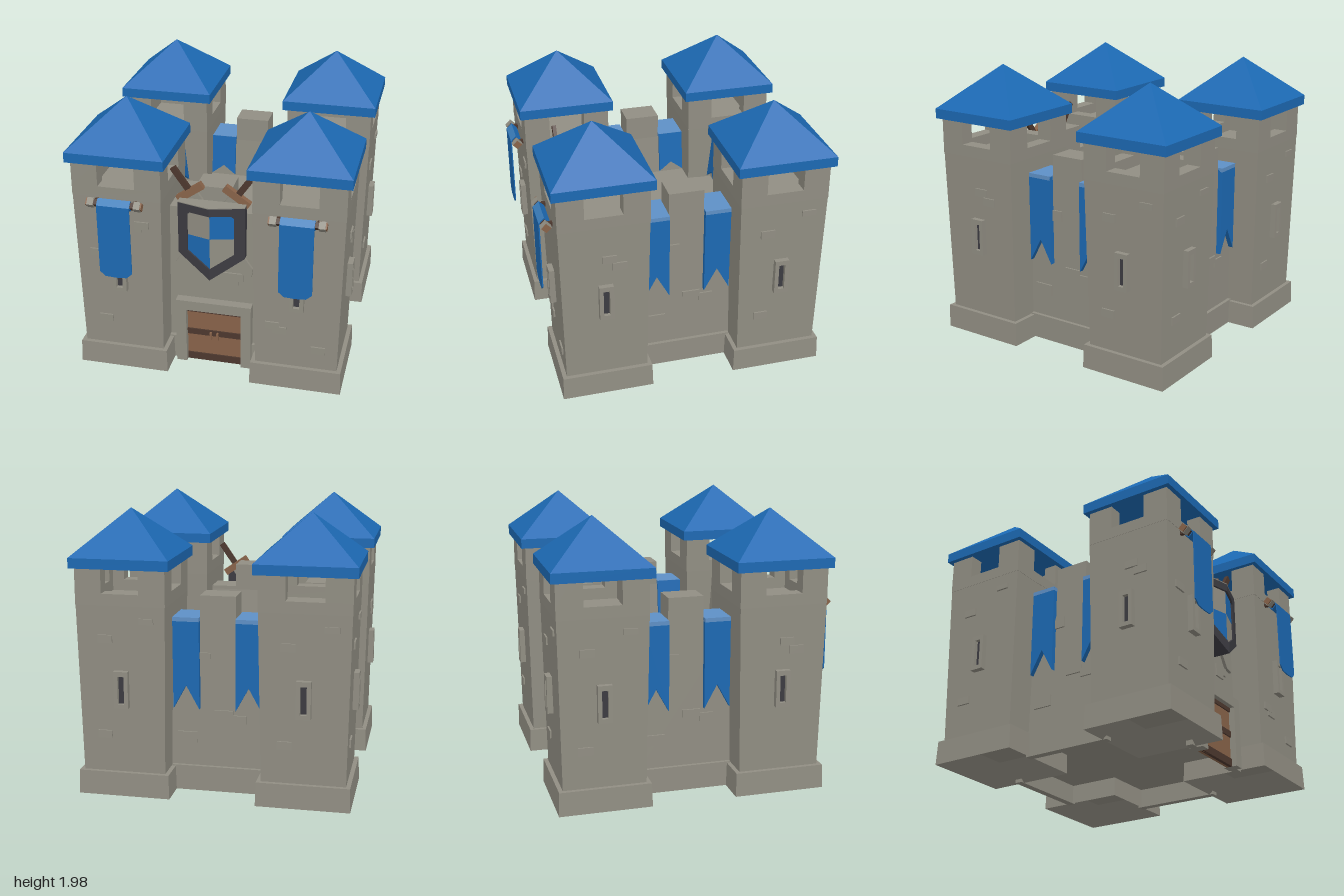
import * as THREE from 'three';

const material = (name, color, side = THREE.FrontSide) => {
  const m = new THREE.MeshStandardMaterial({ color, side });
  m.name = name;
  return m;
};

export function createModel() {
  const stone = material('stone', 0x918e83, THREE.DoubleSide);
  const blue = material('blue', 0x1c69b3);
  const midBlue = material('mid blue', 0x3a7dba);
  const paleBlue = material('pale blue', 0x5e90c6);
  const iron = material('iron', 0x3c3b41);
  const wood = material('wood', 0x886349);
  const darkWood = material('dark wood', 0x4d382e);

  const castle = new THREE.Group();
  castle.name = 'castle';

  // ---- helpers ----
  const group = (parent, name, x = 0, y = 0, z = 0, ry = 0) => {
    const g = new THREE.Group();
    g.name = name;
    g.position.set(x, y, z);
    g.rotation.y = ry;
    parent.add(g);
    return g;
  };
  const add = (parent, name, geometry, mat, x = 0, y = 0, z = 0) => {
    const mesh = new THREE.Mesh(geometry, mat);
    mesh.name = name;
    mesh.position.set(x, y, z);
    parent.add(mesh);
    return mesh;
  };
  const box = (parent, name, mat, x0, x1, y0, y1, z0, z1) =>
    add(parent, name, new THREE.BoxGeometry(x1 - x0, y1 - y0, z1 - z0), mat,
      (x0 + x1) / 2, (y0 + y1) / 2, (z0 + z1) / 2);
  const flat = (geometry) => {
    const g = geometry.toNonIndexed();
    g.computeVertexNormals();
    return g;
  };
  const R2 = Math.SQRT2;
  const frustum = (top, bottom, h) =>
    flat(new THREE.CylinderGeometry(top * R2, bottom * R2, h, 4, 1).rotateY(Math.PI / 4));
  const plate = (points, depth) => new THREE.ExtrudeGeometry(
    new THREE.Shape(points.map(([x, y]) => new THREE.Vector2(x, y))), { depth, bevelEnabled: false });
  // cross-section given as [z, y], swept along x
  const prism = (points, width) => plate(points, width).translate(0, 0, -width / 2).rotateY(-Math.PI / 2);
  const towerHalf = (y) => 0.29 + (y - 0.17) * 0.0175;
  const brick = (parent, u, y, z, w = 0.1, h = 0.055) =>
    box(parent, 'raisedStone', stone, u - w / 2, u + w / 2, y - h / 2, y + h / 2, z - 0.03, z + 0.012);

  // ---- towers ----
  const brickSets = [
    [[0.17, 1.165], [0.145, 1.14, 0.05], [-0.16, 0.92], [-0.125, 0.385]],
    [[-0.17, 0.49], [-0.12, 0.455], [0.155, 0.325]],
    [[0.03, 1.1], [0.1, 1.04]],
    [[-0.11, 1.12], [0.18, 1.25, 0.1, 0.04], [-0.13, 0.44]],
  ];
  // hollow plinth: tapered recess underneath, outer face, top ledge
  const plinthProfile = [[0.17, 0.13], [0.325, 0], [0.32, 0.17], [0.28, 0.17]]
    .map(([r, y]) => new THREE.Vector2(r * R2, y));
  for (const sx of [-1, 1]) for (const sz of [-1, 1]) {
    const t = group(castle, 'tower', sx * 0.625, 0, sz > 0 ? 0.6 : -0.65);
    add(t, 'towerPlinth', flat(new THREE.LatheGeometry(plinthProfile, 4, Math.PI / 4)), stone);
    add(t, 'towerBody', frustum(towerHalf(1.35), towerHalf(0.13), 1.22), stone, 0, 0.74, 0);
    // battlement: thin parapet with a gap in the middle of each side
    for (let k = 0; k < 4; k++) {
      const p = group(t, 'battlement', 0, 0, 0, k * Math.PI / 2);
      box(p, 'parapet', stone, -0.3125, 0.3125, 1.35, 1.43, 0.2125, 0.3125);
      for (const s of [-1, 1])
        box(p, 'cornerMerlon', stone, s * 0.22125 - 0.09125, s * 0.22125 + 0.09125, 1.43, 1.605, 0.2125, 0.3125);
    }
    add(t, 'roofEave', new THREE.BoxGeometry(0.69, 0.07, 0.69), blue, 0, 1.635, 0);
    add(t, 'roof', frustum(0, 0.345, 0.305), blue, 0, 1.8225, 0);

    // arrow slit and raised stones on the two outer faces
    [sz > 0 ? 0 : Math.PI, sx * Math.PI / 2].forEach((ry, i) => {
      const f = group(t, 'outerFace', 0, 0, 0, ry);
      const z = 0.3;
      for (const s of [-1, 1])
        box(f, 'slitJamb', stone, s * 0.036 - 0.014, s * 0.036 + 0.014, 0.64, 0.9, z - 0.02, z + 0.04);
      box(f, 'slitLintel', stone, -0.022, 0.022, 0.865, 0.9, z - 0.02, z + 0.04);
      box(f, 'slitSill', stone, -0.022, 0.022, 0.64, 0.67, z - 0.02, z + 0.04);
      box(f, 'slitOpening', iron, -0.022, 0.022, 0.67, 0.865, z + 0.004, z + 0.012);
      const set = i === 0 && sz > 0 ? (sx < 0 ? 0 : 1) : (sz > 0 ? 2 : 3);
      for (const [u, y, w, h] of brickSets[set]) brick(f, u, y, towerHalf(y), w, h);
    });
  }

  // ---- courtyard deck ----
  box(castle, 'deck', stone, -0.6, 0.6, 0.14, 0.92, -0.65, 0.55);

  // ---- curtain walls with draped banners ----
  const drape = (w, top, bottom, notch, depth) =>
    plate([[-w, top], [-w, bottom], [0, notch], [w, bottom], [w, top]], depth);
  const curtain = (name, z, ry, d) => {
    const w = group(castle, name, 0, 0, z, ry);
    // inner face leans outward towards the bottom
    add(w, 'wall', prism([[d, 0.14], [d, 1.22], [d - 0.193, 1.22], [d - 0.215, 0.9], [d - 0.215, 0.14]], 0.72), stone);
    box(w, 'wallPlinth', stone, -0.33, 0.33, 0, 0.18, d - 0.03, d + 0.025);
    box(w, 'merlon', stone, -0.125, 0.125, 1.2, 1.4, d - 0.193, d);
    for (const [u, y, bw, bh] of [[-0.09, 0.96, 0.08, 0.08], [-0.22, 0.385, 0.14, 0.08],
      [0.04, 0.565, 0.13, 0.055], [0.15, 0.53, 0.1, 0.06]]) brick(w, u, y, d, bw, bh);
    for (const s of [-1, 1]) {
      const b = group(w, 'drapedBanner', s * 0.22, 0, 0);
      add(b, 'bannerFront', drape(0.0925, 1.245, 0.6, 0.77, 0.035), blue, 0, 0, d + 0.002);
      // inner hanging leans away from the wall
      const back = add(b, 'bannerBack', drape(0.0925, 0, -0.31, -0.24, 0.015), blue, 0, 1.248, d - 0.212);
      back.rotation.x = 0.11;
      box(b, 'bannerFold', paleBlue, -0.0925, 0.0925, 1.221, 1.25, d - 0.212, d + 0.038);
    }
  };
  curtain('leftWall', -0.025, Math.PI / 2, 0.708);
  curtain('rightWall', -0.025, -Math.PI / 2, 0.708);
  curtain('backWall', 0, Math.PI, 0.742);

  // ---- front gate wall ----
  const gate = group(castle, 'gateWall');
  add(gate, 'frontWall', plate([[-0.34, 0.14], [0.34, 0.14], [0.33, 1.225], [0.125, 1.225], [0.125, 1.4],
    [-0.125, 1.4], [-0.125, 1.225], [-0.33, 1.225]], 0.2), stone, 0, 0, 0.49);
  add(gate, 'innerBatter', prism([[0.49, 1.2], [0.468, 0.9], [0.49, 0.9]], 0.66), stone);
  for (const s of [-1, 1]) {
    box(gate, 'gatePlinth', stone, s * 0.3 - 0.04, s * 0.3 + 0.04, 0, 0.18, 0.67, 0.72);
    box(gate, 'gateJamb', stone, s * 0.2375 - 0.0375, s * 0.2375 + 0.0375, 0, 0.435, 0.66, 0.76);
  }
  box(gate, 'gateLintel', stone, -0.275, 0.275, 0.435, 0.51, 0.66, 0.76);
  brick(gate, 0.14, 0.715, 0.69, 0.14, 0.06);
  brick(gate, 0.12, 0.68, 0.69, 0.1, 0.06);

  // door with cross bands and handles
  const door = group(gate, 'door');
  box(door, 'doorPanel', wood, -0.2, 0.2, 0, 0.435, 0.68, 0.715);
  for (const [y0, y1] of [[0, 0.055], [0.215, 0.26], [0.405, 0.435]])
    box(door, 'doorBand', darkWood, -0.2, 0.2, y0, y1, 0.7, 0.725);
  for (const s of [-1, 1])
    box(door, 'doorHandle', wood, s * 0.025 - 0.007, s * 0.025 + 0.007, 0.19, 0.25, 0.72, 0.745);

  // ---- crossed swords ----
  for (const s of [-1, 1]) {
    const sword = group(gate, 'sword', s * 0.012, 1.1375, s < 0 ? 0.704 : 0.708);
    sword.rotation.z = -s * 0.609;
    add(sword, 'blade', plate([[-0.045, 0.26], [-0.045, -0.44], [0, -0.49], [0.045, -0.44], [0.045, 0.26]], 0.022),
      stone, 0, 0, -0.011);
    box(sword, 'guard', wood, -0.105, 0.105, 0.24, 0.292, -0.021, 0.021);
    box(sword, 'grip', darkWood, -0.021, 0.021, 0.29, 0.475, -0.014, 0.014);
  }

  // ---- keeled shield: mirrored halves, flat behind, front drawn out to a centre ridge ----
  const shield = group(gate, 'shield', 0, 0, 0.722);
  const half = (name, points, s, depth, mat) => {
    const g = plate(points.map(([x, y]) => [x * s, y]), depth);
    const p = g.attributes.position;
    for (let i = 0; i < p.count; i++)
      if (p.getZ(i) > 0.01) p.setZ(i, depth + 0.065 * (1 - Math.abs(p.getX(i)) / 0.235));
    g.computeVertexNormals();
    add(shield, name, g, mat);
  };
  for (const s of [-1, 1]) {
    half('shieldRim', [[0, 1.307], [0.235, 1.307], [0.235, 0.92], [0, 0.757], [0, 0.84], [0.165, 0.95],
      [0.165, 1.23], [0.145, 1.25], [0, 1.25]], s, 0.06, iron);
    half('shieldTopEdge', [[0, 1.307], [0.235, 1.307], [0.235, 1.313], [0, 1.313]], s, 0.06, stone);
    half('upperQuarter', [[0, 1.07], [0.17, 1.07], [0.17, 1.255], [0, 1.255]], s, 0.045, s > 0 ? blue : stone);
    half('lowerQuarter', [[0, 1.07], [0.17, 1.07], [0.17, 0.945], [0, 0.83]], s, 0.045, s > 0 ? stone : blue);
  }

  // ---- hanging banners on the front towers ----
  for (const s of [-1, 1]) {
    const b = group(castle, 'hangingBanner', s * 0.625, 1.33, 0.96);
    const bar = (name, mat, x, length, size) => {
      const m = add(b, name, new THREE.BoxGeometry(length, size, size), mat, x, 0, 0);
      m.rotation.x = Math.PI / 4;
    };
    bar('rod', darkWood, 0, 0.35, 0.04);
    bar('clothFold', [blue, blue, midBlue, blue, blue, blue], 0, 0.23, 0.055);
    for (const e of [-1, 1]) {
      bar('rodKnob', stone, e * 0.163, 0.045, 0.054);
      bar('rodCap', wood, e * 0.19, 0.01, 0.046);
      box(b, 'rodBracket', darkWood, e * 0.135 - 0.012, e * 0.135 + 0.012, -0.015, 0.015, -0.07, 0);
    }
    add(b, 'cloth', plate([[-0.115, 0], [-0.115, -0.505], [-0.075, -0.54], [0, -0.545], [0.075, -0.54],
      [0.115, -0.505], [0.115, 0]], 0.008), blue, 0, 0, 0.032);
  }

  return castle;
}
